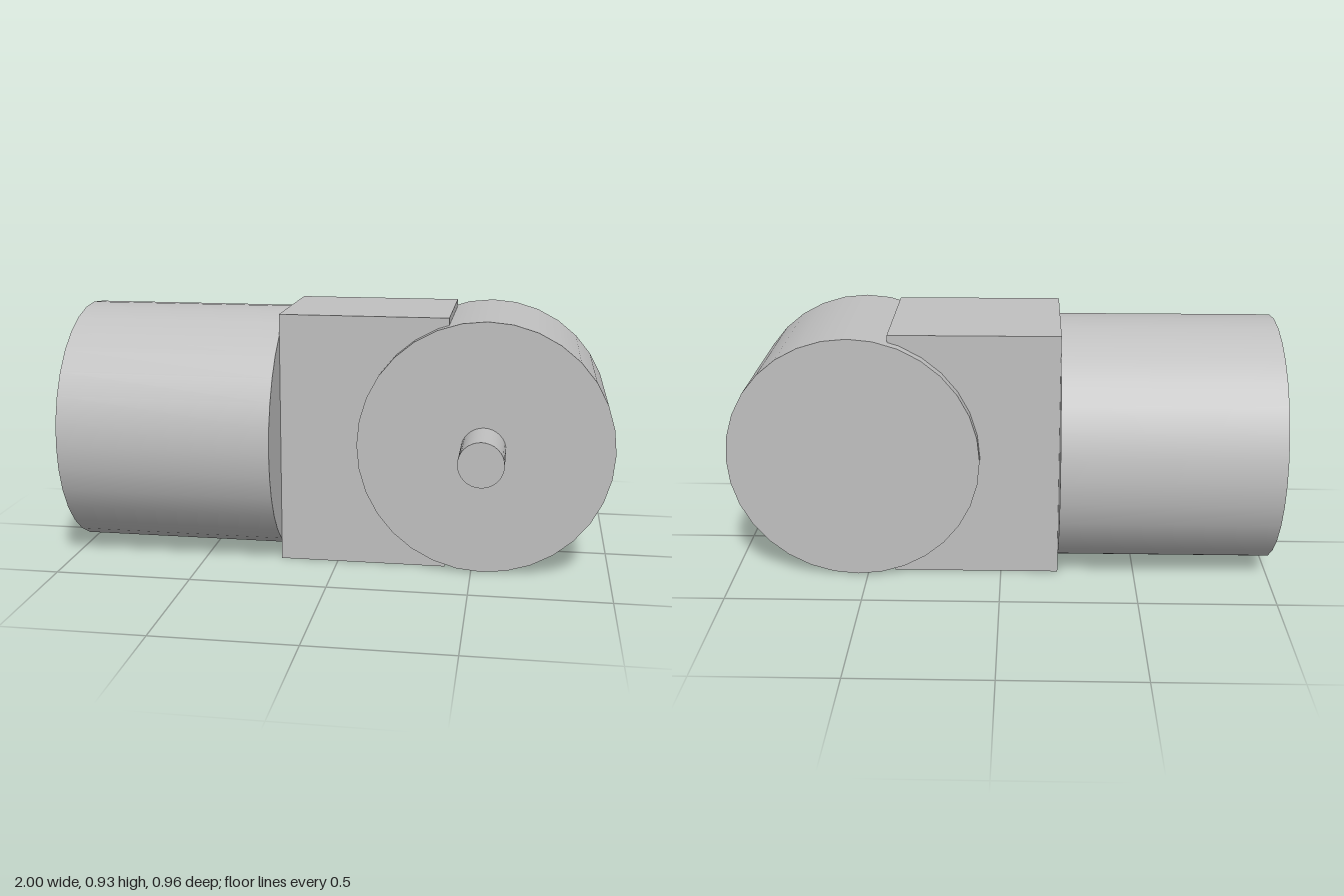
import * as THREE from 'three';

export function createModel() {
  const group = new THREE.Group();
  group.name = 'gearMotor';
  const grey = new THREE.MeshStandardMaterial({ color: 0xc0c0c0 });
  grey.name = 'light grey';
  const midY = 0.465;

  const add = (name, geometry, x, z) => {
    const mesh = new THREE.Mesh(geometry, grey);
    mesh.name = name;
    mesh.position.set(x, midY, z);
    group.add(mesh);
  };

  // Cylinder lying along the x or z axis
  const rod = (radius, length, axis) => {
    const g = new THREE.CylinderGeometry(radius, radius, length, 32);
    return axis === 'x' ? g.rotateZ(Math.PI / 2) : g.rotateX(Math.PI / 2);
  };

  // Motor body
  add('motorBody', rod(0.461, 0.787, 'x'), -0.6065, -0.019);
  // Block joining the motor to the gear housing
  add('connectingBlock', new THREE.BoxGeometry(0.615, 0.93, 0.497), 0.0935, -0.019);
  // Round gear housing
  add('gearHousing', rod(0.462, 0.58, 'z'), 0.538, -0.016);
  // Output shaft, rooted inside the housing
  add('outputShaft', rod(0.081, 0.28, 'z'), 0.534, 0.34);

  return group;
}
